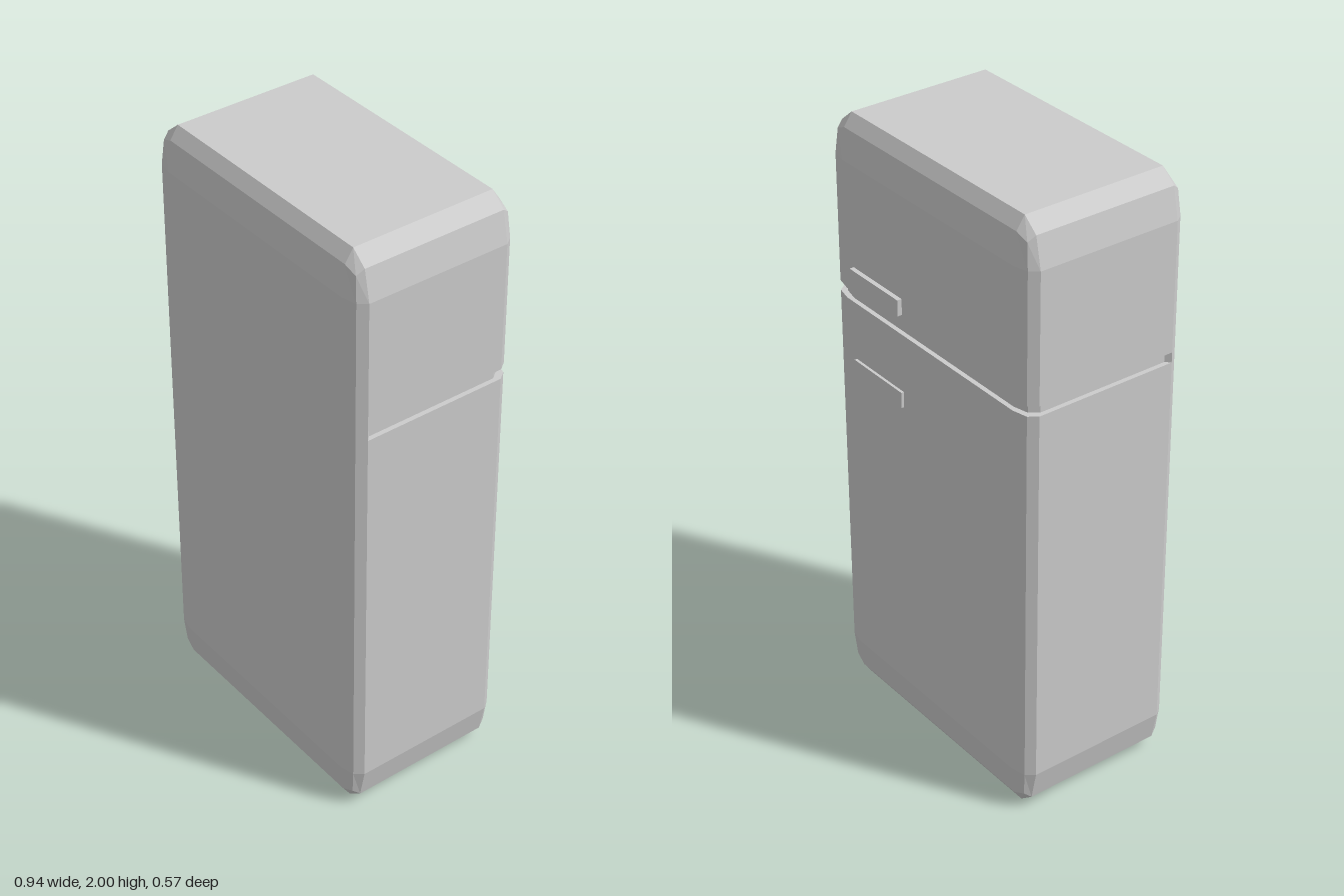
import * as THREE from 'three';

const material = new THREE.MeshStandardMaterial({ color: 0xcccccc, flatShading: true });
const CZ = 0.006; // z centre of the cabinet
const CORE = { x: 0.4, z: 0.238 }; // half size of the flat areas
const BEVEL = { x: 0.07, y: 0.14, z: 0.039 };

// Corner profiles [x, z, rise]; the side point is doubled so the groove can stop there
const WIDE = [[1, 0, 0], [1, 0, 0], [0.707, 0.707, 0], [0, 1, 0]];
const MID = [[0.707, 0, 0.707], [0.707, 0, 0.707], [0.577, 0.577, 0.577], [0, 0.707, 0.707]];
const CAP = [0, 1, 2, 3].map(() => [0, 0, 1]);

// One horizontal ring through the four corners; dir is +1 towards the top, -1 towards the base
function ring(profile, y, dir = 0, inset = 0) {
  const points = [];
  [[1, 1], [-1, 1], [-1, -1], [1, -1]].forEach(([sx, sz], k) => {
    const corner = profile.map(([bx, bz, rise], i) => {
      const cut = sz < 0 || i === 0 ? inset : 0; // front face stays uncut
      return new THREE.Vector3(
        sx * (CORE.x + BEVEL.x * bx - cut),
        y + dir * BEVEL.y * rise,
        CZ + sz * (CORE.z + BEVEL.z * bz - cut));
    });
    points.push(...(k % 2 ? corner.reverse() : corner));
  });
  return points;
}

// Skin a stack of rings from bottom to top and close both ends
function loft(rings) {
  const positions = [];
  const tri = (a, b, c) => {
    const area = b.clone().sub(a).cross(c.clone().sub(a)).length();
    if (area > 1e-8) for (const p of [a, b, c]) positions.push(p.x, p.y, p.z);
  };
  for (let r = 0; r < rings.length - 1; r++) {
    const low = rings[r], up = rings[r + 1], n = low.length;
    for (let i = 0; i < n; i++) {
      const j = (i + 1) % n;
      tri(low[i], up[i], up[j]);
      tri(low[i], up[j], low[j]);
    }
  }
  const base = rings[0], top = rings[rings.length - 1];
  for (let i = 1; i < base.length - 1; i++) {
    tri(base[0], base[i], base[i + 1]);
    tri(top[0], top[i + 1], top[i]);
  }
  const geometry = new THREE.BufferGeometry();
  geometry.setAttribute('position', new THREE.Float32BufferAttribute(positions, 3));
  geometry.computeVertexNormals();
  return geometry;
}

export function createModel() {
  const fridge = new THREE.Group();
  fridge.name = 'refrigerator';

  // Bevelled cabinet with the groove between the two doors
  const low = BEVEL.y, high = 2 - BEVEL.y;
  const cabinet = new THREE.Mesh(loft([
    ring(CAP, low, -1), ring(MID, low, -1), ring(WIDE, low),
    ring(WIDE, 1.41), ring(WIDE, 1.41, 0, 0.015),
    ring(WIDE, 1.443, 0, 0.015), ring(WIDE, 1.443),
    ring(WIDE, high), ring(MID, high, 1), ring(CAP, high, 1),
  ]), material);
  cabinet.name = 'cabinet';
  fridge.add(cabinet);

  // Flat bar handles on the door side
  for (const [name, y, back] of [['freezerHandle', 1.503, -0.286], ['doorHandle', 1.192, -0.28]]) {
    const depth = -0.262 - back;
    const handle = new THREE.Mesh(new THREE.BoxGeometry(0.24, 0.052, depth), material);
    handle.position.set(0.239, y, back + depth / 2);
    handle.name = name;
    fridge.add(handle);
  }
  return fridge;
}
